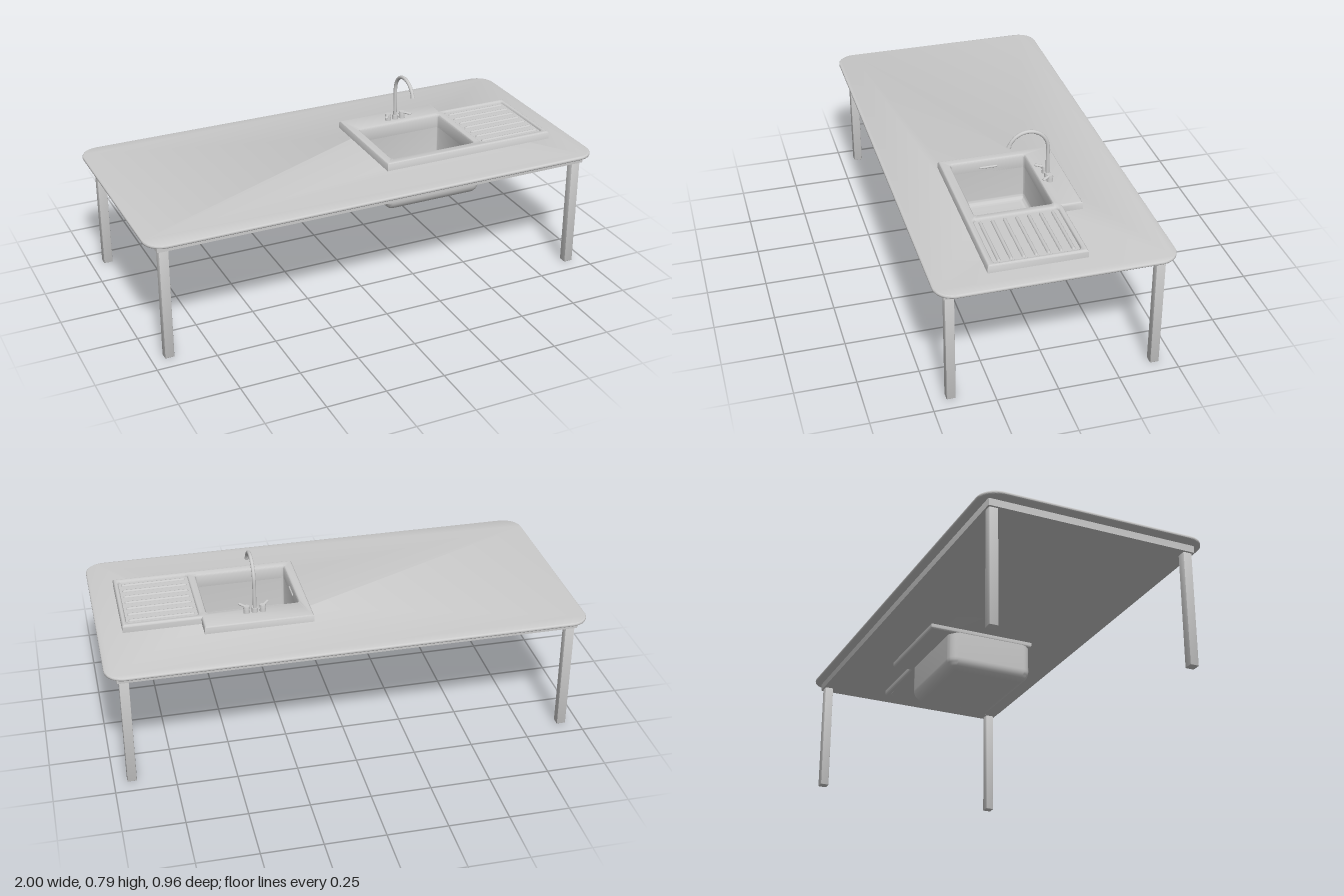
import * as THREE from 'three';
import { toCreasedNormals } from 'three/addons/utils/BufferGeometryUtils.js';

const material = new THREE.MeshStandardMaterial({ color: 0xcccccc });

function add(parent, name, geometry, x = 0, y = 0, z = 0) {
  const mesh = new THREE.Mesh(geometry, material);
  mesh.name = name;
  mesh.position.set(x, y, z);
  parent.add(mesh);
  return mesh;
}

// Points of a rounded rectangle on the ground plane, as (x, z)
function roundedRect(x0, x1, z0, z1, r, steps = 8) {
  const points = [];
  const corners = [[x1 - r, z1 - r], [x0 + r, z1 - r], [x0 + r, z0 + r], [x1 - r, z0 + r]];
  corners.forEach(([cx, cz], k) => {
    for (let i = 0; i <= steps; i++) {
      const a = (k + i / steps) * Math.PI / 2;
      points.push(new THREE.Vector2(cx + r * Math.cos(a), cz + r * Math.sin(a)));
    }
  });
  return points;
}

// Horizontal slab with rounded edges between two heights
function slab(outline, holes, y0, y1, bevel) {
  const flip = (points) => points.map((p) => new THREE.Vector2(p.x, -p.y));
  const shape = new THREE.Shape(flip(outline));
  holes.forEach((h) => shape.holes.push(new THREE.Path(flip(h))));
  const geometry = new THREE.ExtrudeGeometry(shape, {
    depth: y1 - y0 - 2 * bevel, bevelEnabled: bevel > 0, bevelThickness: bevel,
    bevelSize: bevel, bevelOffset: -bevel, bevelSegments: 4,
  });
  geometry.rotateX(-Math.PI / 2).translate(0, y0 + bevel, 0);
  return toCreasedNormals(geometry, 0.6);
}

// Skin over a list of rings of equal length
function loft(rings) {
  const n = rings[0].length;
  const index = [];
  for (let i = 0; i < rings.length - 1; i++) {
    for (let j = 0; j < n; j++) {
      const a = i * n + j, b = i * n + (j + 1) % n;
      index.push(a, a + n, b, b, a + n, b + n);
    }
  }
  const geometry = new THREE.BufferGeometry().setFromPoints(rings.flat());
  geometry.setIndex(index);
  return toCreasedNormals(geometry, 0.6);
}

function basinGeometry() {
  const ring = (b, inset, y, r) => roundedRect(b[0] + inset, b[1] - inset, b[2] + inset, b[3] - inset,
    Math.max(r - inset, 0.002)).map((p) => new THREE.Vector3(p.x, y, p.y));
  const outer = [0.116, 0.57, -0.134, 0.257];
  const inner = [0.157, 0.545, -0.105, 0.215];
  const point = (y) => ring(outer, 0, y, 0.04).map(() => new THREE.Vector3(0.35, y, 0.058));
  const rings = [point(0.328)];
  const steps = 8;
  for (let i = 0; i <= steps; i++) {
    const a = (i / steps) * Math.PI / 2;
    rings.push(ring(outer, 0.05 * (1 - Math.sin(a)), 0.378 - 0.05 * Math.cos(a), 0.04));
  }
  rings.push(ring(outer, 0, 0.51, 0.04), ring(inner, 0, 0.51, 0.012));
  for (let i = 0; i <= steps; i++) {
    const a = (i / steps) * Math.PI / 2;
    rings.push(ring(inner, 0.025 * (1 - Math.cos(a)), 0.37 - 0.025 * Math.sin(a), 0.012));
  }
  rings.push(point(0.345));
  return loft(rings);
}

function createTable() {
  const table = new THREE.Group();
  table.name = 'table';
  const cutout = roundedRect(0.135, 0.555, -0.12, 0.235, 0.01);
  add(table, 'tableTop', slab(roundedRect(-1, 1, -0.48, 0.48, 0.08, 12), [cutout], 0.513, 0.528, 0.006));

  const frameHole = roundedRect(-0.905, 0.905, -0.395, 0.395, 0.002, 1);
  add(table, 'apron', slab(roundedRect(-0.955, 0.955, -0.444, 0.444, 0.004, 2), [frameHole], 0.483, 0.514, 0));

  for (const sx of [-1, 1]) {
    for (const sz of [-1, 1]) {
      const leg = slab(roundedRect(-0.0195, 0.0195, -0.0185, 0.0185, 0.003, 2), [], 0, 0.49, 0.0015);
      add(table, 'leg', leg, sx * 0.926, 0, sz * 0.418);
    }
  }
  return table;
}

function createSink() {
  const sink = new THREE.Group();
  sink.name = 'sink';

  // L-shaped rim with the bowl opening and the drainer recess
  const outline = [[0.115, 0.258], [0.896, 0.258], [0.896, -0.14], [0.571, -0.14], [0.571, -0.225], [0.115, -0.225]]
    .map(([x, z]) => new THREE.Vector2(x, z));
  const opening = roundedRect(0.157, 0.545, -0.105, 0.215, 0.012);
  const recess = roundedRect(0.58, 0.875, -0.115, 0.23, 0.015);
  add(sink, 'rim', slab(outline, [opening, recess], 0.49, 0.561, 0.01));
  add(sink, 'drainer', slab(roundedRect(0.575, 0.88, -0.12, 0.235, 0.01), [], 0.491, 0.552, 0));
  for (let i = 0; i < 7; i++) {
    const ridge = new THREE.CapsuleGeometry(0.008, 0.26, 4, 10).rotateZ(Math.PI / 2);
    add(sink, 'drainerRidge', ridge, 0.728, 0.551, -0.09 + i * 0.0492);
  }

  add(sink, 'basin', basinGeometry());

  // Waste outlet in the basin floor
  add(sink, 'drainRing', new THREE.TorusGeometry(0.036, 0.004, 8, 32).rotateX(Math.PI / 2), 0.35, 0.346, -0.03);
  add(sink, 'drainPlate', new THREE.CylinderGeometry(0.034, 0.034, 0.003, 32), 0.35, 0.346, -0.03);
  for (let i = 0; i < 6; i++) {
    const a = i * Math.PI / 3;
    add(sink, 'drainStud', new THREE.CylinderGeometry(0.004, 0.004, 0.003, 10),
      0.35 + 0.02 * Math.cos(a), 0.349, -0.03 + 0.02 * Math.sin(a));
  }
  // Overflow slot on the side wall
  add(sink, 'overflow', new THREE.CapsuleGeometry(0.005, 0.07, 4, 10).rotateX(Math.PI / 2), 0.157, 0.525, 0.05);
  return sink;
}

function createFaucet() {
  const faucet = new THREE.Group();
  faucet.name = 'faucet';
  faucet.position.set(0.35, 0.56, -0.145);

  // Column and swan-neck spout
  add(faucet, 'base', new THREE.CylinderGeometry(0.012, 0.014, 0.022, 24), 0, 0.01, 0);
  const path = [new THREE.Vector3(0, 0, 0), new THREE.Vector3(0, 0.07, 0), new THREE.Vector3(0, 0.12, 0)];
  const end = THREE.MathUtils.degToRad(20), r = 0.084;
  for (let i = 0; i <= 12; i++) {
    const a = Math.PI + (end - Math.PI) * i / 12;
    path.push(new THREE.Vector3(0, 0.14 + r * Math.sin(a), r + r * Math.cos(a)));
  }
  add(faucet, 'spout', new THREE.TubeGeometry(new THREE.CatmullRomCurve3(path), 64, 0.0078, 16));
  const tip = path[path.length - 1];
  const nozzle = add(faucet, 'nozzle', new THREE.CylinderGeometry(0.0085, 0.0095, 0.012, 20), tip.x, tip.y, tip.z);
  nozzle.rotation.x = -end;

  // Two mirrored taps with levers splayed outward
  for (const s of [-1, 1]) {
    const tap = new THREE.Group();
    tap.name = 'tap';
    tap.position.set(s * 0.034, 0, 0);
    tap.rotation.y = s * 0.65;
    add(tap, 'tapBody', new THREE.CylinderGeometry(0.012, 0.014, 0.02, 20), 0, 0.009, 0);
    add(tap, 'tapCap', new THREE.CylinderGeometry(0.012, 0.014, 0.012, 20), 0, 0.025, 0);
    const lever = add(tap, 'lever', new THREE.CapsuleGeometry(0.007, 0.03, 6, 14).rotateX(Math.PI / 2), 0, 0.027, 0.024);
    lever.scale.y = 0.7;
    faucet.add(tap);
  }
  return faucet;
}

export function createModel() {
  const model = new THREE.Group();
  model.name = 'sinkTable';
  model.add(createTable(), createSink(), createFaucet());
  return model;
}
